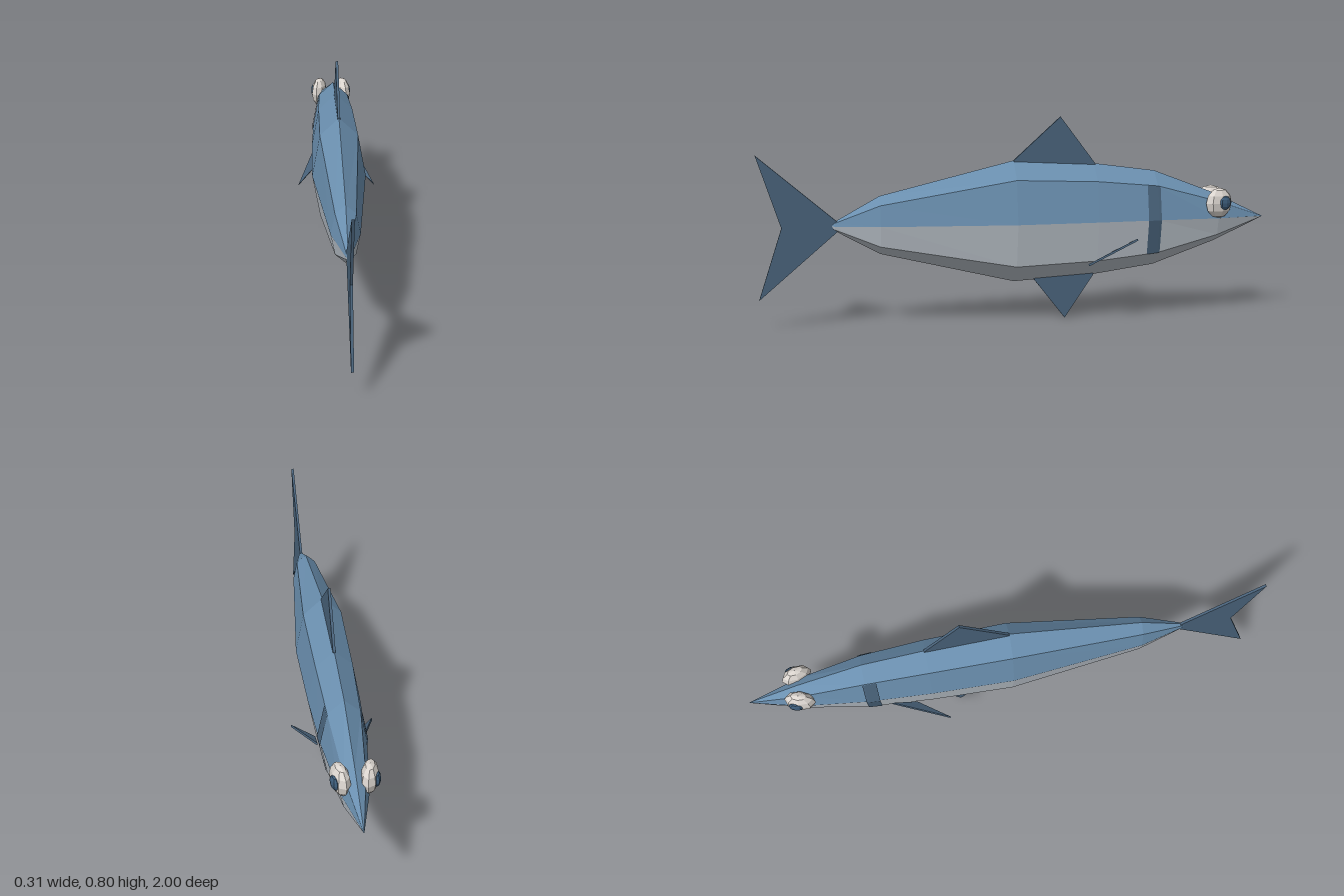
import * as THREE from 'three';
import { ConvexGeometry } from 'three/addons/geometries/ConvexGeometry.js';

const mat = (name, color, side = THREE.FrontSide) => {
  const m = new THREE.MeshStandardMaterial({ color, side, flatShading: true });
  m.name = name;
  return m;
};

// Body stations from nose to tail: z, centre height, half width, half height
const STATIONS = [
  [-1, 0.385, 0.001, 0.001],
  [-0.8, 0.388, 0.053, 0.095],
  [-0.545, 0.392, 0.084, 0.188],
  [-0.3, 0.392, 0.097, 0.221],
  [0.02, 0.392, 0.104, 0.238],
  [0.54, 0.392, 0.053, 0.112],
  [0.71, 0.392, 0.01, 0.018],
  [0.73, 0.392, 0.001, 0.001],
];

// Interpolated station at any z
function stationAt(z) {
  const i = STATIONS.findIndex((s, k) => k > 0 && s[0] >= z);
  const a = STATIONS[i - 1], b = STATIONS[i];
  const t = (z - a[0]) / (b[0] - a[0]);
  return a.map((v, k) => v + (b[k] - v) * t);
}

// Skin between octagonal sections, from corner k0 to corner k1
function loft(stations, k0, k1, grow = 0) {
  const point = ([z, cy, rx, ry], k) => {
    const a = (k * Math.PI) / 4;
    return [(rx + grow) * Math.cos(a), cy + ry * Math.sin(a), z];
  };
  const pos = [];
  for (let i = 0; i < stations.length - 1; i++) {
    for (let k = k0; k < k1; k++) {
      const a = point(stations[i], k), b = point(stations[i], k + 1);
      const c = point(stations[i + 1], k + 1), d = point(stations[i + 1], k);
      pos.push(...a, ...b, ...c, ...a, ...c, ...d);
    }
  }
  const g = new THREE.BufferGeometry();
  g.setAttribute('position', new THREE.Float32BufferAttribute(pos, 3));
  g.computeVertexNormals();
  return g;
}

// Flat upright fin from [z, y] corners, centred on x = 0
function plate(corners, thickness = 0.01) {
  const shape = new THREE.Shape(corners.map(([z, y]) => new THREE.Vector2(-z, y)));
  return new THREE.ExtrudeGeometry(shape, { depth: thickness, bevelEnabled: false })
    .translate(0, 0, -thickness / 2)
    .rotateY(Math.PI / 2);
}

export function createModel() {
  const back = mat('back blue', 0x6b90b0);
  const belly = mat('belly silver', 0xbcc4cc);
  const fin = mat('fin slate', 0x4a647c);
  const gill = mat('gill slate', 0x4a647c, THREE.DoubleSide);
  const white = mat('eye white', 0xdcd6d0);
  const iris = mat('iris blue', 0x3c5c7a);

  const model = new THREE.Group();
  model.name = 'fish';
  const add = (parent, name, geometry, material) => {
    const m = new THREE.Mesh(geometry, material);
    m.name = name;
    parent.add(m);
    return m;
  };

  // Two-tone body
  add(model, 'upperBody', loft(STATIONS, 0, 4), back);
  add(model, 'lowerBody', loft(STATIONS, 4, 8), belly);

  // Upright fins
  add(model, 'dorsalFin', plate([[0.02, 0.62], [0.02, 0.63], [-0.165, 0.797], [-0.305, 0.612], [-0.305, 0.6]]), fin);
  add(model, 'analFin', plate([[-0.06, 0.18], [-0.06, 0.16], [-0.185, 0], [-0.3, 0.17], [-0.3, 0.19]]), fin);
  add(model, 'tailFin', plate([[0.69, 0.4], [1, 0.667], [0.91, 0.39], [1, 0.115], [0.69, 0.38]]), fin);

  for (const side of [1, -1]) {
    const half = new THREE.Group();
    half.name = side > 0 ? 'leftSide' : 'rightSide';
    half.scale.x = side;
    model.add(half);

    // Gill band lying on the two side facets
    const band = [-0.555, -0.545, -0.502].map(stationAt);
    add(half, 'gillBand', loft(band, -1, 1, 0.004), gill);

    // Pectoral fin: thin three-cornered wedge
    const corners = [[0.083, 0.318, -0.46], [0.08, 0.272, -0.365], [0.156, 0.237, -0.245]]
      .map((p) => new THREE.Vector3(...p));
    const n = new THREE.Triangle(...corners).getNormal(new THREE.Vector3()).multiplyScalar(0.004);
    const wedge = corners.flatMap((p) => [p.clone().add(n), p.clone().sub(n)]);
    add(half, 'pectoralFin', new ConvexGeometry(wedge), fin);

    // Flattened eye turned slightly forward
    const eye = new THREE.Group();
    eye.name = 'eye';
    eye.position.set(0.051, 0.45, -0.8);
    eye.rotation.y = 0.25;
    half.add(eye);
    add(eye, 'eyeball', new THREE.SphereGeometry(1, 8, 6), white).scale.set(0.032, 0.06, 0.06);
    const pupil = add(eye, 'iris', new THREE.SphereGeometry(1, 8, 6), iris);
    pupil.scale.set(0.014, 0.028, 0.028);
    pupil.position.set(0.025, 0.002, -0.012);
  }
  return model;
}
